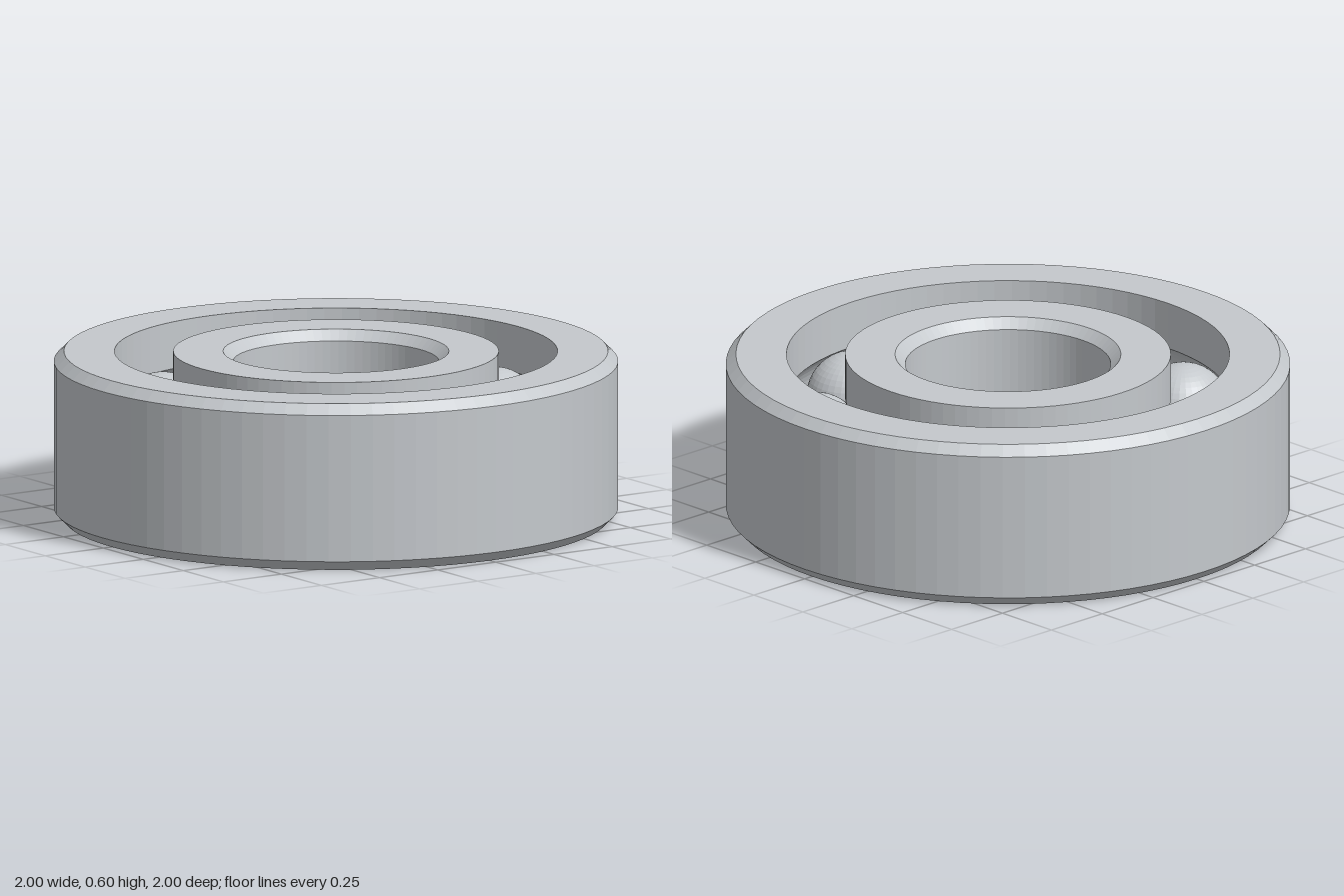
import * as THREE from 'three';

const HEIGHT = 0.6, MID = HEIGHT / 2, CHAMFER = 0.036;
const PITCH = 0.68, BALL_RADIUS = 0.165, GROOVE_RADIUS = 0.168, BALLS = 9;
const OUTER = 1, OUTER_BORE = 0.785, INNER = 0.577, INNER_BORE = 0.364;

// Arc of the ball groove in the (radius, height) plane
function grooveArc(from, to, steps = 14) {
  return Array.from({ length: steps + 1 }, (_, i) => {
    const a = from + (to - from) * i / steps;
    return [PITCH + GROOVE_RADIUS * Math.cos(a), MID + GROOVE_RADIUS * Math.sin(a)];
  });
}

// Closed profile turned around the vertical axis
function ring(name, profile, material) {
  const points = [...profile, profile[0]].map(([r, y]) => new THREE.Vector2(r, y));
  const mesh = new THREE.Mesh(new THREE.LatheGeometry(points, 80), material);
  mesh.name = name;
  return mesh;
}

export function createModel() {
  const model = new THREE.Group();
  model.name = 'ballBearing';
  const steel = new THREE.MeshStandardMaterial({ color: 0xc4c8cc, flatShading: true });
  steel.name = 'steel';

  // Outer race: chamfered outside, ball groove inside
  const a = Math.acos((OUTER_BORE - PITCH) / GROOVE_RADIUS);
  model.add(ring('outerRace', [
    [OUTER - CHAMFER, 0], [OUTER, CHAMFER],
    [OUTER, HEIGHT - CHAMFER], [OUTER - CHAMFER, HEIGHT],
    [OUTER_BORE, HEIGHT], ...grooveArc(a, -a), [OUTER_BORE, 0],
  ], steel));

  // Inner race: ball groove outside, chamfered bore
  const b = Math.acos((PITCH - INNER) / GROOVE_RADIUS);
  model.add(ring('innerRace', [
    [INNER, 0], ...grooveArc(Math.PI + b, Math.PI - b), [INNER, HEIGHT],
    [INNER_BORE + CHAMFER, HEIGHT], [INNER_BORE, HEIGHT - CHAMFER],
    [INNER_BORE, CHAMFER], [INNER_BORE + CHAMFER, 0],
  ], steel));

  // Balls spaced evenly between the races
  const balls = new THREE.Group();
  balls.name = 'balls';
  const ballGeometry = new THREE.SphereGeometry(BALL_RADIUS, 36, 24);
  for (let i = 0; i < BALLS; i++) {
    const angle = i * Math.PI * 2 / BALLS;
    const ball = new THREE.Mesh(ballGeometry, steel);
    ball.name = `ball${i + 1}`;
    ball.position.set(PITCH * Math.cos(angle), MID, PITCH * Math.sin(angle));
    balls.add(ball);
  }
  model.add(balls);
  return model;
}
